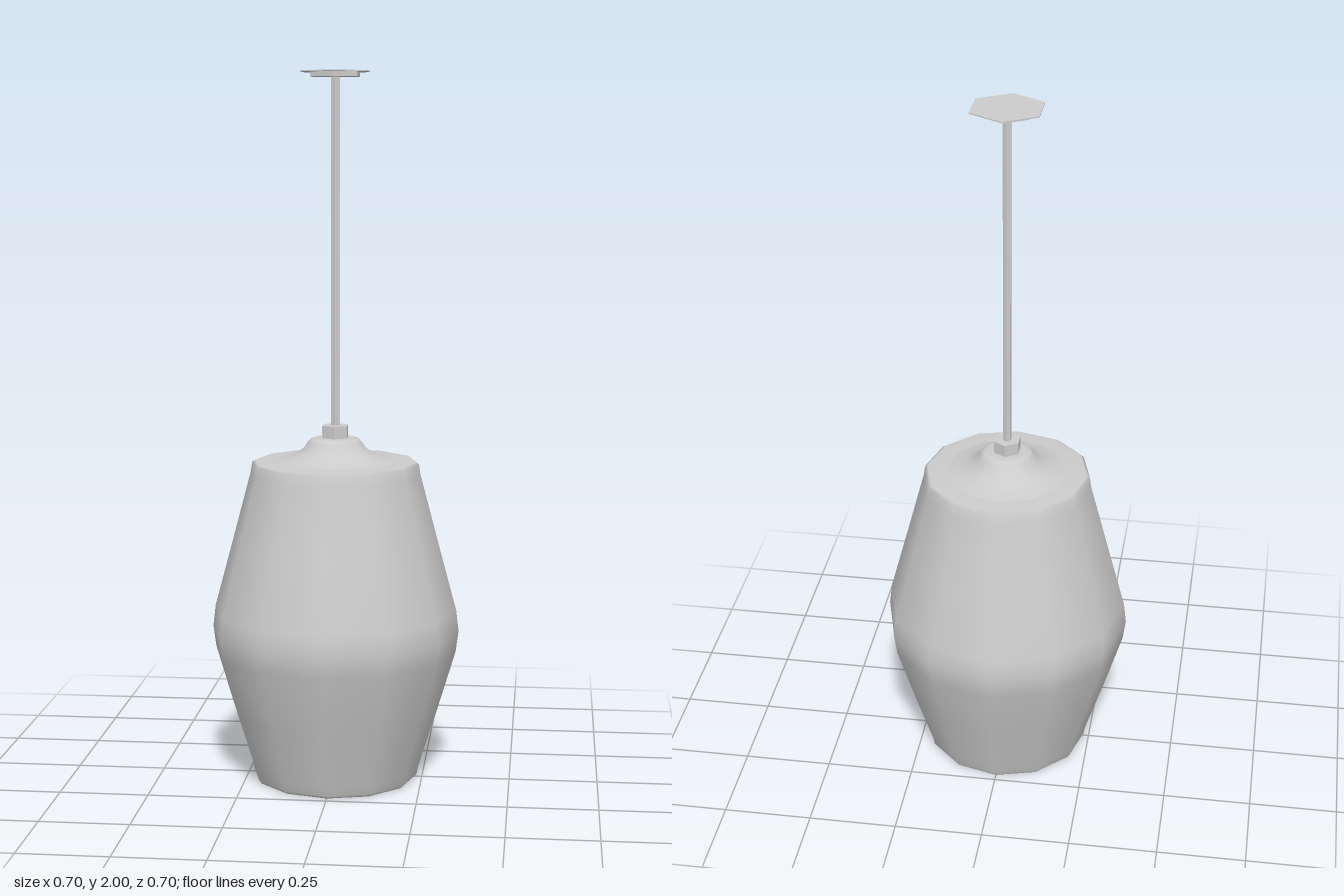
import * as THREE from 'three';

const grey = new THREE.MeshStandardMaterial({ color: 0xcccccc, side: THREE.DoubleSide });
const greyFlat = new THREE.MeshStandardMaterial({ color: 0xcccccc, flatShading: true });

export function createModel() {
  const group = new THREE.Group();

  const add = (name, geometry, material) => {
    const mesh = new THREE.Mesh(geometry, material);
    mesh.name = name;
    group.add(mesh);
  };
  const lathe = (name, points) =>
    add(name, new THREE.LatheGeometry(points.map(([r, y]) => new THREE.Vector2(r, y)), 12), grey);
  // Hexagonal prism between two heights, corners on the z axis
  const hexPrism = (name, radius, y0, y1) => {
    const g = new THREE.CylinderGeometry(radius, radius, y1 - y0, 6);
    add(name, g.translate(0, (y0 + y1) / 2, 0), greyFlat);
  };

  // Twelve-sided glass shade: inner wall, rolled bottom rim, outer wall, top edge
  lathe('shade', [
    [0, 0.89], [0.2, 0.89], [0.215, 0.875], [0.27, 0.68], [0.315, 0.49], [0.322, 0.43],
    [0.315, 0.37], [0.265, 0.2], [0.207, 0.03], [0.205, 0.008], [0.213, 0],
    [0.228, 0], [0.235, 0.008], [0.239, 0.03], [0.293, 0.2], [0.344, 0.37],
    [0.352, 0.43], [0.345, 0.49], [0.294, 0.68], [0.241, 0.88], [0.237, 0.908], [0.228, 0.914], [0.17, 0.915],
  ]);

  // Flared cap on top of the shade
  lathe('shadeCap', [
    [0.175, 0.915], [0.14, 0.922], [0.11, 0.935], [0.088, 0.952],
    [0.077, 0.969], [0.068, 0.978], [0.055, 0.981], [0, 0.981],
  ]);

  // Hanging hardware
  hexPrism('nut', 0.04, 0.978, 1.016);
  hexPrism('rod', 0.0125, 1.0, 1.99);
  hexPrism('canopyBase', 0.075, 1.984, 1.998);
  hexPrism('canopyPlate', 0.106, 1.997, 2.0);

  return group;
}
